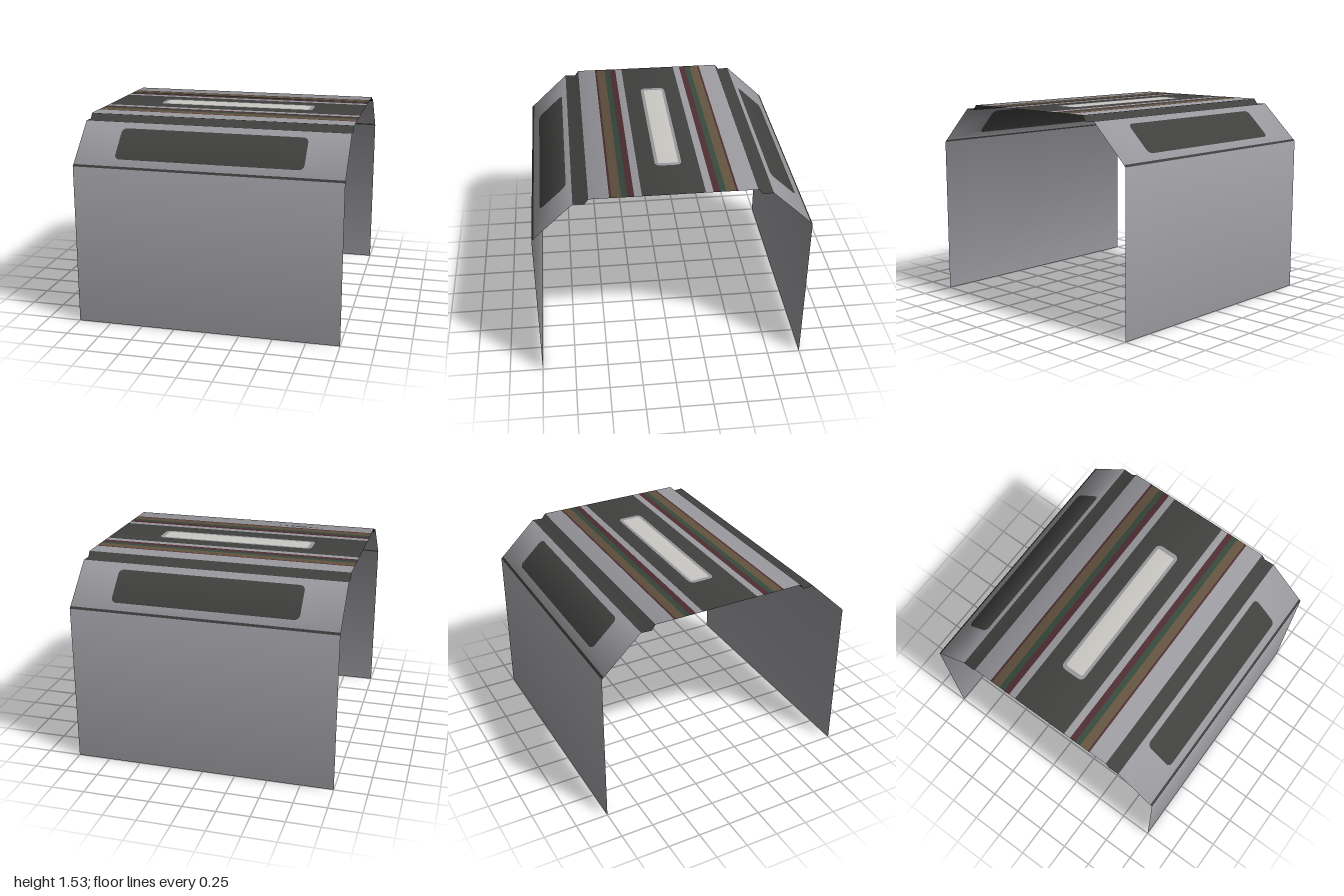
import * as THREE from 'three';

const mat = (name, color) => {
  const m = new THREE.MeshStandardMaterial({ color, side: THREE.DoubleSide });
  m.name = name;
  return m;
};

// Cross-section [z, y] from the front foot, over the roof, to the back foot
const half = [[1, 0], [1, 1.215], [0.7, 1.5], [0.62, 1.495], [0.59, 1.535]];
const profile = [...half, ...half.slice().reverse().map(([z, y]) => [-z, y])]
  .map(([z, y]) => new THREE.Vector3(0, y, z));
const X = new THREE.Vector3(1, 0, 0);

// Face normals, averaged at the bends so the shell shades smoothly
const faceNormals = profile.slice(1).map((p, i) =>
  new THREE.Vector3().crossVectors(X, p.clone().sub(profile[i])).normalize());
const normals = profile.map((p, i) => {
  const a = faceNormals[Math.max(i - 1, 0)];
  const b = faceNormals[Math.min(i, faceNormals.length - 1)];
  return a.clone().add(b).normalize();
});
const lengthOf = (i) => profile[i].distanceTo(profile[i + 1]);

// Rectangle in sheet coordinates (x, distance along the section), with optional round corners
function rect(w, s0, s1, r = 0, Type = THREE.Shape) {
  const p = new Type();
  if (!r) {
    p.moveTo(-w, s0).lineTo(w, s0).lineTo(w, s1).lineTo(-w, s1).closePath();
    return p;
  }
  const h = Math.PI / 2;
  p.absarc(w - r, s0 + r, r, -h, 0);
  p.absarc(w - r, s1 - r, r, 0, h);
  p.absarc(-w + r, s1 - r, r, h, 2 * h);
  p.absarc(-w + r, s0 + r, r, 2 * h, 3 * h);
  p.closePath();
  return p;
}

// Lay a flat shape onto segment i of the section
function lay(shape, i) {
  const geo = new THREE.ShapeGeometry(shape, 6);
  const pos = geo.attributes.position, nor = geo.attributes.normal;
  const len = lengthOf(i), v = new THREE.Vector3();
  for (let k = 0; k < pos.count; k++) {
    const x = pos.getX(k), t = pos.getY(k) / len;
    v.lerpVectors(profile[i], profile[i + 1], t);
    pos.setXYZ(k, x, v.y, v.z);
    v.lerpVectors(normals[i], normals[i + 1], t).normalize();
    nor.setXYZ(k, v.x, v.y, v.z);
  }
  return geo;
}

export function createModel() {
  const group = new THREE.Group();
  group.name = 'tunnelSection';
  const grey = mat('panelGrey', 0x98989d);
  const dark = mat('darkTrim', 0x40403f);
  const light = mat('lampWhite', 0xcac8c3);
  const brown = mat('pipeBrown', 0x62523f);
  const green = mat('pipeGreen', 0x36483c);
  const red = mat('pipeRed', 0x4d2d31);

  const add = (name, shape, seg, material) => {
    const mesh = new THREE.Mesh(lay(shape, seg), material);
    mesh.name = name;
    group.add(mesh);
  };

  // Walls, sloped window panels and trim, front then back
  for (const back of [false, true]) {
    const side = back ? 'back' : 'front';
    const seg = (i) => (back ? 8 - i : i);
    // Span measured upward from the lower edge of a segment
    const span = (i, a, b) => (back ? [lengthOf(i) - b, lengthOf(i) - a] : [a, b]);
    const full = (i) => rect(1, 0, lengthOf(i));

    add(side + 'Wall', full(0), seg(0), grey);
    add(side + 'Seam', rect(1, ...span(1, 0, 0.021)), seg(1), dark);
    const frame = rect(1, ...span(1, 0.021, lengthOf(1)));
    const win = span(1, 0.083, 0.359);
    frame.holes.push(rect(0.7, ...win, 0.04, THREE.Path));
    add(side + 'SlopedPanel', frame, seg(1), grey);
    add(side + 'Window', rect(0.7, ...win, 0.04), seg(1), dark);
    add(side + 'Ledge', full(2), seg(2), dark);
    add(side + 'Step', full(3), seg(3), dark);
  }

  // Roof bands: outer z, inner z, mirrored about the centre line
  const roof = 4, mid = lengthOf(roof) / 2;
  const bands = [
    ['outerRoofBand', 0.59, 0.447, grey],
    ['thinRedPipe', 0.447, 0.432, red],
    ['brownPipe', 0.432, 0.365, brown],
    ['greenPipe', 0.365, 0.322, green],
    ['redPipe', 0.322, 0.275, red],
    ['innerRoofBand', 0.275, 0.222, grey],
  ];
  for (const [name, a, b, material] of bands) {
    add(name + 'Front', rect(1, mid - a, mid - b), roof, material);
    add(name + 'Back', rect(1, mid + b, mid + a), roof, material);
  }

  // Dark centre strip with a framed lamp
  const strip = rect(1, mid - 0.222, mid + 0.222);
  const outer = [0.612, mid - 0.092, mid + 0.102, 0.04];
  const inner = [0.58, mid - 0.068, mid + 0.08, 0.015];
  strip.holes.push(rect(...outer, THREE.Path));
  add('centreStrip', strip, roof, dark);
  const lampFrame = rect(...outer);
  lampFrame.holes.push(rect(...inner, THREE.Path));
  add('lampFrame', lampFrame, roof, grey);
  add('lamp', rect(...inner), roof, light);

  return group;
}
